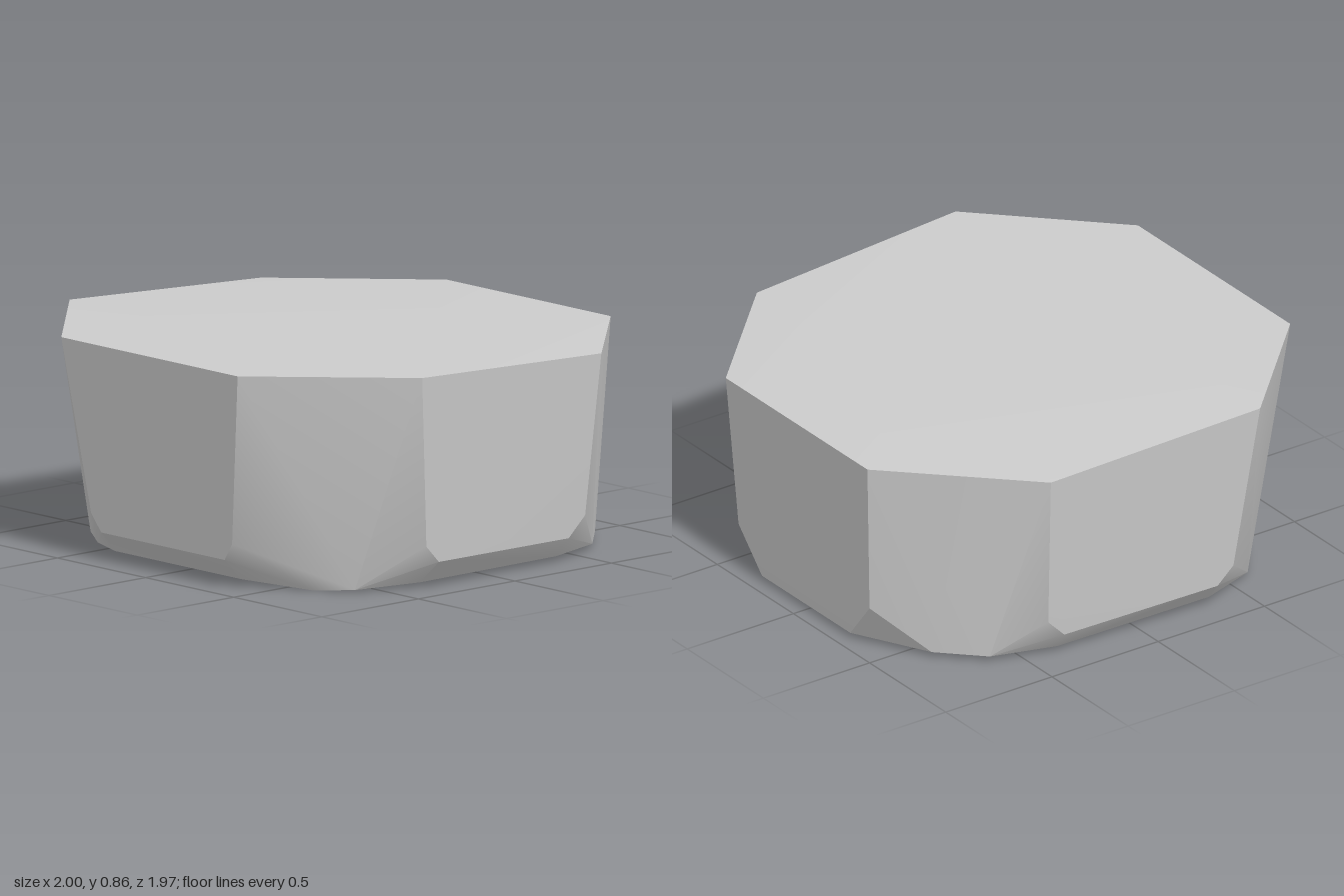
import * as THREE from 'three';
import { ConvexGeometry } from 'three/addons/geometries/ConvexGeometry.js';
import { toCreasedNormals } from 'three/addons/utils/BufferGeometryUtils.js';

// Corners of the +x half, mirrored to -x
const HALF = [
  // top rim, sloping down to the back
  [0.5, 0.86, 0.98], [1.0, 0.86, 0.48], [0.965, 0.817, -0.48], [0.465, 0.815, -0.985],
  // where the wall edges end and the bottom corners start rounding
  [0.4, 0.18, 0.917], [0.936, 0.18, 0.4], [0.906, 0.18, -0.45], [0.43, 0.19, -0.95],
  // upper edges of the front and side bevels
  [0.35, 0.11, 0.91], [0.93, 0.11, 0.33], [0.9, 0.1, -0.37],
  // base outline
  [0.36, 0.025, 0.83], [0.61, 0, 0.69], [0.75, 0.01, 0.6], [0.845, 0.02, 0.35],
  [0.84, 0.022, -0.36], [0.76, 0.022, -0.62], [0.6, 0.022, -0.78], [0.29, 0.022, -0.94],
];

export function createModel() {
  const group = new THREE.Group();
  group.name = 'facetedBlock';

  const grey = new THREE.MeshStandardMaterial({ color: 0xcccccc });
  grey.name = 'light grey';

  const points = [];
  for (const side of [1, -1]) {
    for (const [x, y, z] of HALF) points.push(new THREE.Vector3(side * x, y, z));
  }

  // Solid eight-sided body with crisp wall edges and softened lower corners
  const body = new THREE.Mesh(toCreasedNormals(new ConvexGeometry(points), 0.4), grey);
  body.name = 'body';
  group.add(body);
  return group;
}
